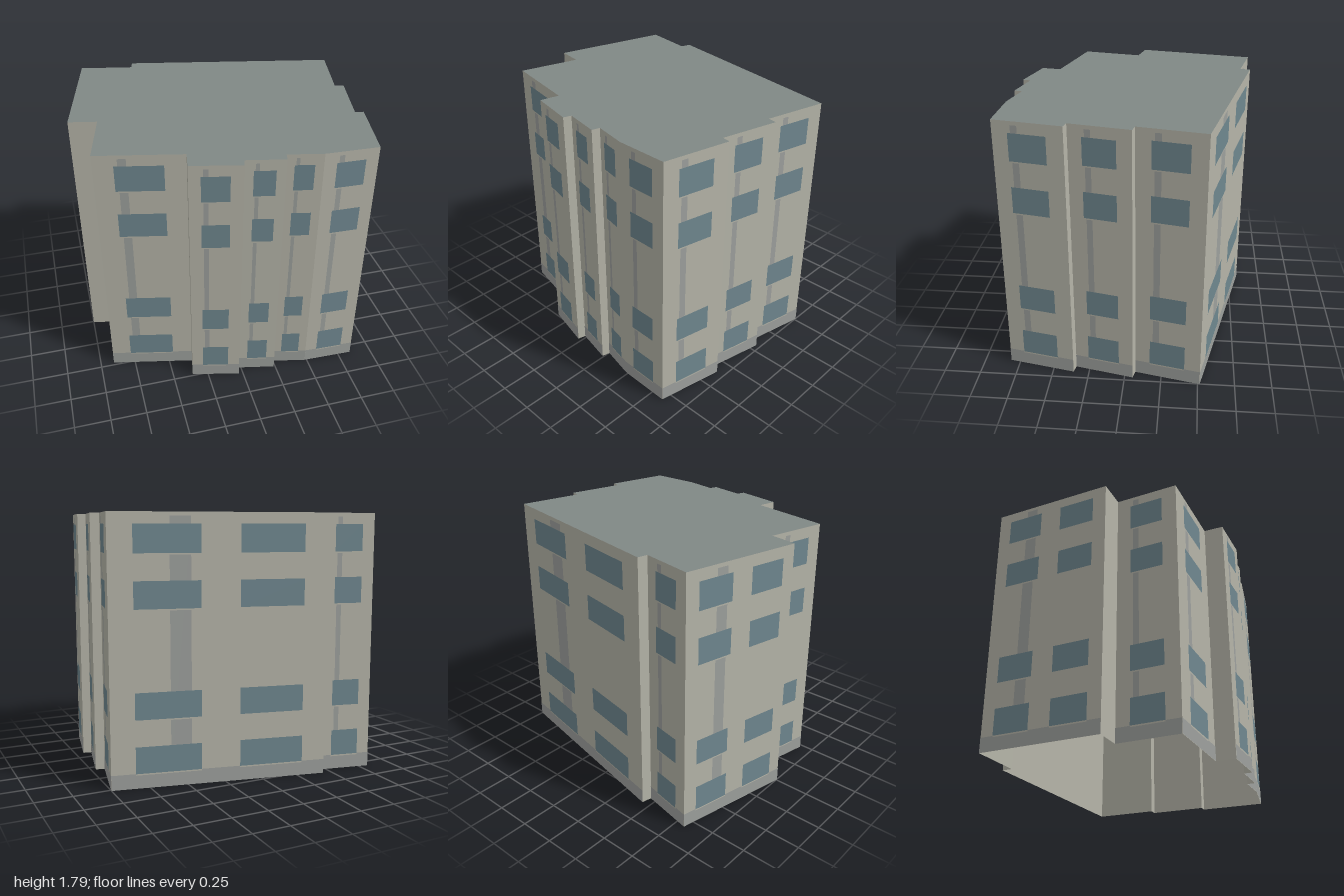
import * as THREE from 'three';

const HEIGHT = 1.795;

// Footprint corners (x, z), walked so that each wall faces outwards
const OUTLINE = [
  [-0.905, 0.475], [-0.335, 0.6], [-0.36, 0.735], [-0.03, 0.812], [-0.015, 0.757],
  [0.24, 0.812], [0.253, 0.757], [0.485, 0.808], [0.845, 0.817], [0.938, 0.357],
  [0.88, 0.345], [0.967, -0.057], [0.905, -0.07], [1, -0.513], [-0.44, -0.82],
  [-0.455, -0.75], [-0.818, -0.825], [-1, 0.008], [-0.81, 0.048],
];
// Bottom and top of each window row
const ROWS = [[0.1, 0.28], [0.46, 0.64], [1.18, 1.36], [1.535, 1.72]];

const material = (color, side = THREE.FrontSide) =>
  new THREE.MeshStandardMaterial({ color, side });

export function createModel() {
  const model = new THREE.Group();
  model.name = 'apartmentBlock';
  const wallMat = material(0xb5b4a8, THREE.DoubleSide);
  const sillMat = material(0xb5b4a8);
  const trimMat = material(0x9da09d);
  const glassMat = material(0x6f878f);
  const roofMat = material(0x808885, THREE.DoubleSide);

  // Upright rectangle in a wall's own plane, lifted off it by z
  function panel(parent, name, mat, x0, x1, y0, y1, z) {
    const mesh = new THREE.Mesh(new THREE.PlaneGeometry(x1 - x0, y1 - y0), mat);
    mesh.position.set((x0 + x1) / 2, (y0 + y1) / 2, z);
    mesh.name = name;
    parent.add(mesh);
  }

  OUTLINE.forEach(([x, z], i) => {
    const [nx, nz] = OUTLINE[(i + 1) % OUTLINE.length];
    const length = Math.hypot(nx - x, nz - z);
    const facade = new THREE.Group();
    facade.name = 'facade';
    facade.position.set(x, 0, z);
    facade.rotation.y = Math.atan2(z - nz, nx - x);
    model.add(facade);
    panel(facade, 'wall', wallMat, 0, length, 0, HEIGHT, 0);
    if (length < 0.21) return; // short returns stay plain

    // Plinth and vertical stripe
    panel(facade, 'plinth', trimMat, 0, length, 0, 0.1, 0.002);
    panel(facade, 'stripe', trimMat, 0.27 * length, 0.365 * length, 0.1, 1.77, 0.002);

    // One window per floor, or two on the long walls
    const spans = length > 0.7 ? [[0.11, 0.41], [0.59, 0.89]] : [[0.228, 0.762]];
    for (const [a, b] of spans) {
      for (const [y0, y1] of ROWS) {
        panel(facade, 'window', glassMat, a * length, b * length, y0, y1, 0.005);
        panel(facade, 'sill', sillMat, a * length, b * length, y0 - 0.01, y0, 0.004);
      }
    }
  });

  // Flat roof; the underside is left open
  const shape = new THREE.Shape(OUTLINE.map(([x, z]) => new THREE.Vector2(x, -z)));
  const roof = new THREE.Mesh(new THREE.ShapeGeometry(shape), roofMat);
  roof.rotation.x = -Math.PI / 2;
  roof.position.y = HEIGHT;
  roof.name = 'roof';
  model.add(roof);

  return model;
}
